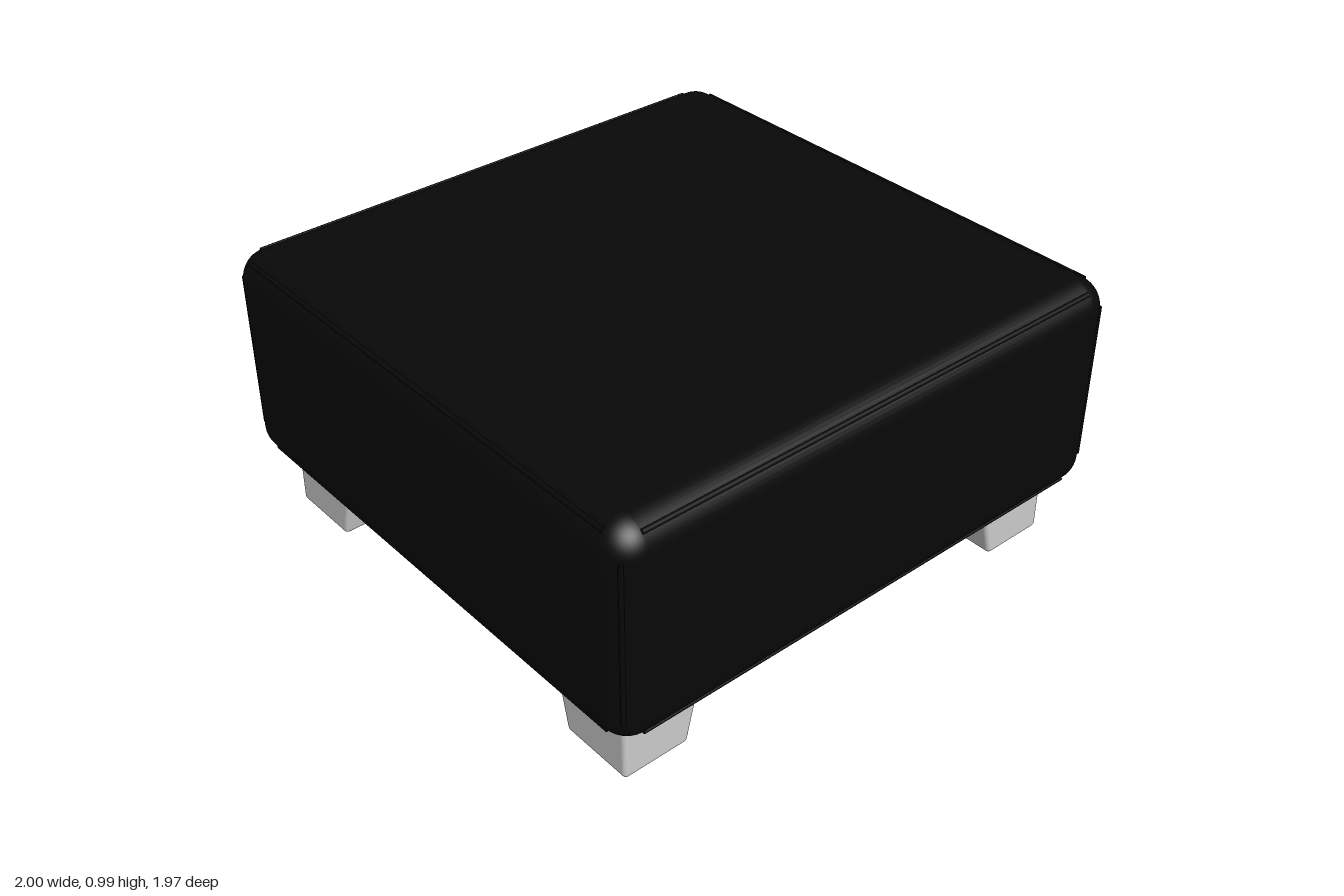
import * as THREE from 'three';
import { RoundedBoxGeometry } from 'three/addons/geometries/RoundedBoxGeometry.js';

const HALF = new THREE.Vector3(1, 0.383, 0.983); // cushion half sizes
const MID_Y = 0.602;
const RADIUS = 0.1;

// Leg block: straight outer faces, inner faces flaring outwards towards the top
function legGeometry() {
  const w = 0.24, h = 0.26, d = 0.27, flare = 0.24;
  const geo = new RoundedBoxGeometry(w, h, d, 3, 0.015);
  geo.translate(-w / 2, h / 2, -d / 2); // outer corner at the origin
  const p = geo.attributes.position;
  for (let i = 0; i < p.count; i++) {
    const y = p.getY(i);
    p.setX(i, p.getX(i) * (1 + (flare * y) / w));
    p.setZ(i, p.getZ(i) * (1 + (flare * y) / d));
  }
  return geo;
}

export function createModel() {
  const group = new THREE.Group();
  const black = new THREE.MeshStandardMaterial({ color: 0x080808 });
  const grey = new THREE.MeshStandardMaterial({ color: 0xcccccc });

  // Upholstered block
  const cushion = new THREE.Mesh(
    new RoundedBoxGeometry(HALF.x * 2, HALF.y * 2, HALF.z * 2, 6, RADIUS), black);
  cushion.name = 'cushion';
  cushion.position.y = MID_Y;
  group.add(cushion);

  // Fine seam along the middle of each rounded edge
  const seams = new THREE.Group();
  seams.name = 'seams';
  seams.position.y = MID_Y;
  const inset = RADIUS * (1 - Math.SQRT1_2);
  const axes = ['x', 'y', 'z'];
  axes.forEach((axis, k) => {
    const a = axes[(k + 1) % 3], b = axes[(k + 2) % 3];
    const geo = new THREE.CylinderGeometry(0.008, 0.008, 2 * (HALF[axis] - RADIUS), 8);
    if (axis === 'x') geo.rotateZ(Math.PI / 2);
    if (axis === 'z') geo.rotateX(Math.PI / 2);
    for (const sa of [-1, 1]) for (const sb of [-1, 1]) {
      const seam = new THREE.Mesh(geo, black);
      seam.name = 'seam';
      seam.position[a] = sa * (HALF[a] - inset);
      seam.position[b] = sb * (HALF[b] - inset);
      seams.add(seam);
    }
  });
  group.add(seams);

  // Four mirrored legs
  const legGeo = legGeometry();
  legGeo.computeVertexNormals();
  for (const sx of [-1, 1]) for (const sz of [-1, 1]) {
    const leg = new THREE.Mesh(legGeo, grey);
    leg.name = (sz > 0 ? 'front' : 'back') + (sx > 0 ? 'Left' : 'Right') + 'Leg';
    leg.position.set(sx * 0.907, 0, sz * 0.878);
    leg.scale.set(sx, 1, sz);
    group.add(leg);
  }
  return group;
}
